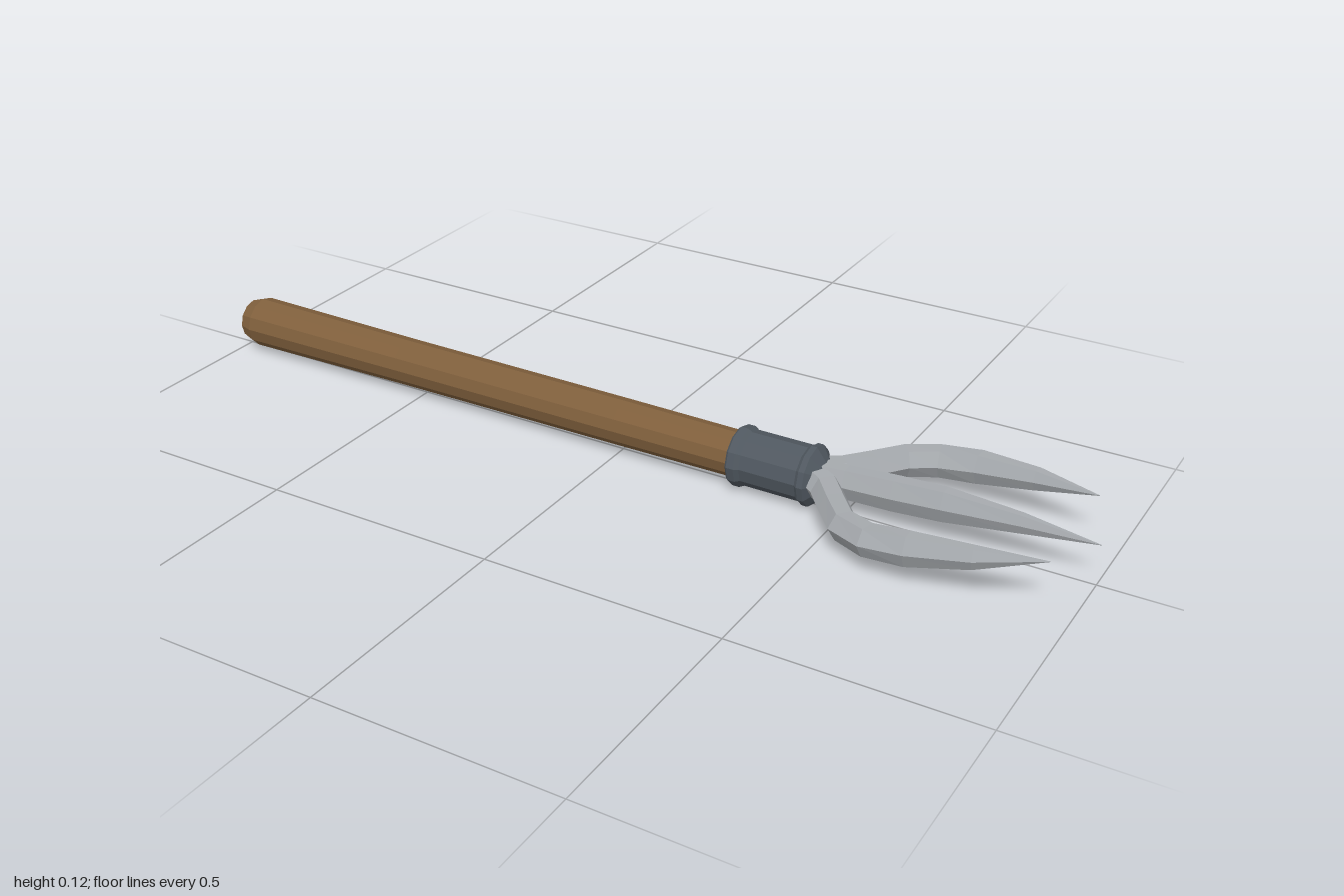
import * as THREE from 'three';

const AXIS_Y = 0.065;

// Faceted shading: every face gets its own normal
function faceted(geometry) {
  const g = geometry.index ? geometry.toNonIndexed() : geometry;
  g.computeVertexNormals();
  return g;
}

// Twelve-sided turned part lying along x, from [x, radius] pairs
function turned(profile) {
  const points = profile.map(([x, r]) => new THREE.Vector2(r, x));
  const g = new THREE.LatheGeometry(points, 12);
  g.rotateZ(-Math.PI / 2);
  g.translate(0, AXIS_Y, 0);
  return faceted(g);
}

// Hexagonal bar swept along rows of [x, y, z, halfWidth, halfHeight]
const HEX = [[-0.5, 1], [0.5, 1], [1, 0], [0.5, -1], [-0.5, -1], [-1, 0]];
function prong(rows, side = 1) {
  const positions = [], index = [], n = HEX.length;
  rows.forEach(([x, y, z, w, h], i) => {
    const a = rows[Math.max(i - 1, 0)], b = rows[Math.min(i + 1, rows.length - 1)];
    const dx = b[0] - a[0], dz = (b[2] - a[2]) * side, len = Math.hypot(dx, dz);
    for (const [s, u] of HEX) {
      positions.push(x - (dz / len) * s * w, y + u * h, z * side + (dx / len) * s * w);
    }
    if (i === 0) return;
    for (let j = 0; j < n; j++) {
      const k = (j + 1) % n, p = (i - 1) * n, q = i * n;
      index.push(p + j, p + k, q + k, p + j, q + k, q + j);
    }
  });
  const g = new THREE.BufferGeometry();
  g.setAttribute('position', new THREE.Float32BufferAttribute(positions, 3));
  g.setIndex(index);
  return faceted(g);
}

export function createModel() {
  const wood = new THREE.MeshStandardMaterial({ color: 0x7f5f3c });
  const darkIron = new THREE.MeshStandardMaterial({ color: 0x505860 });
  const steel = new THREE.MeshStandardMaterial({ color: 0xa6aaae });

  const group = new THREE.Group();
  group.name = 'handFork';
  const add = (name, geometry, material) => {
    const mesh = new THREE.Mesh(geometry, material);
    mesh.name = name;
    group.add(mesh);
  };

  // Wooden handle with a rounded butt
  add('handle', turned([
    [-1, 0], [-0.998, 0.028], [-0.985, 0.045], [-0.955, 0.055],
    [-0.55, 0.051], [0, 0.049], [0.3, 0.047],
  ]), wood);

  // Ferrule with a rim at each end
  add('ferrule', turned([
    [0.265, 0.045], [0.265, 0.058], [0.27, 0.0625], [0.285, 0.0625], [0.295, 0.057],
    [0.415, 0.057], [0.422, 0.0625], [0.434, 0.0625], [0.455, 0.035], [0.455, 0],
  ]), darkIron);

  // Straight middle prong
  add('middleProng', prong([
    [0.42, 0.068, 0, 0.035, 0.03], [0.5, 0.07, 0, 0.026, 0.031],
    [0.6, 0.075, 0, 0.027, 0.033], [0.7, 0.081, 0, 0.025, 0.032],
    [0.85, 0.087, 0, 0.014, 0.019], [1, 0.087, 0, 0.0005, 0.0005],
  ]), steel);

  // Curved outer prongs, mirrored across the handle
  const outer = [
    [0.42, 0.068, 0.005, 0.03, 0.028], [0.475, 0.066, 0.04, 0.032, 0.028],
    [0.515, 0.065, 0.09, 0.032, 0.028], [0.56, 0.066, 0.145, 0.032, 0.028],
    [0.62, 0.069, 0.173, 0.031, 0.029], [0.7, 0.077, 0.176, 0.028, 0.031],
    [0.82, 0.091, 0.164, 0.019, 0.021], [0.95, 0.108, 0.134, 0.0005, 0.0005],
  ];
  add('frontProng', prong(outer, 1), steel);
  add('backProng', prong(outer, -1), steel);

  return group;
}
